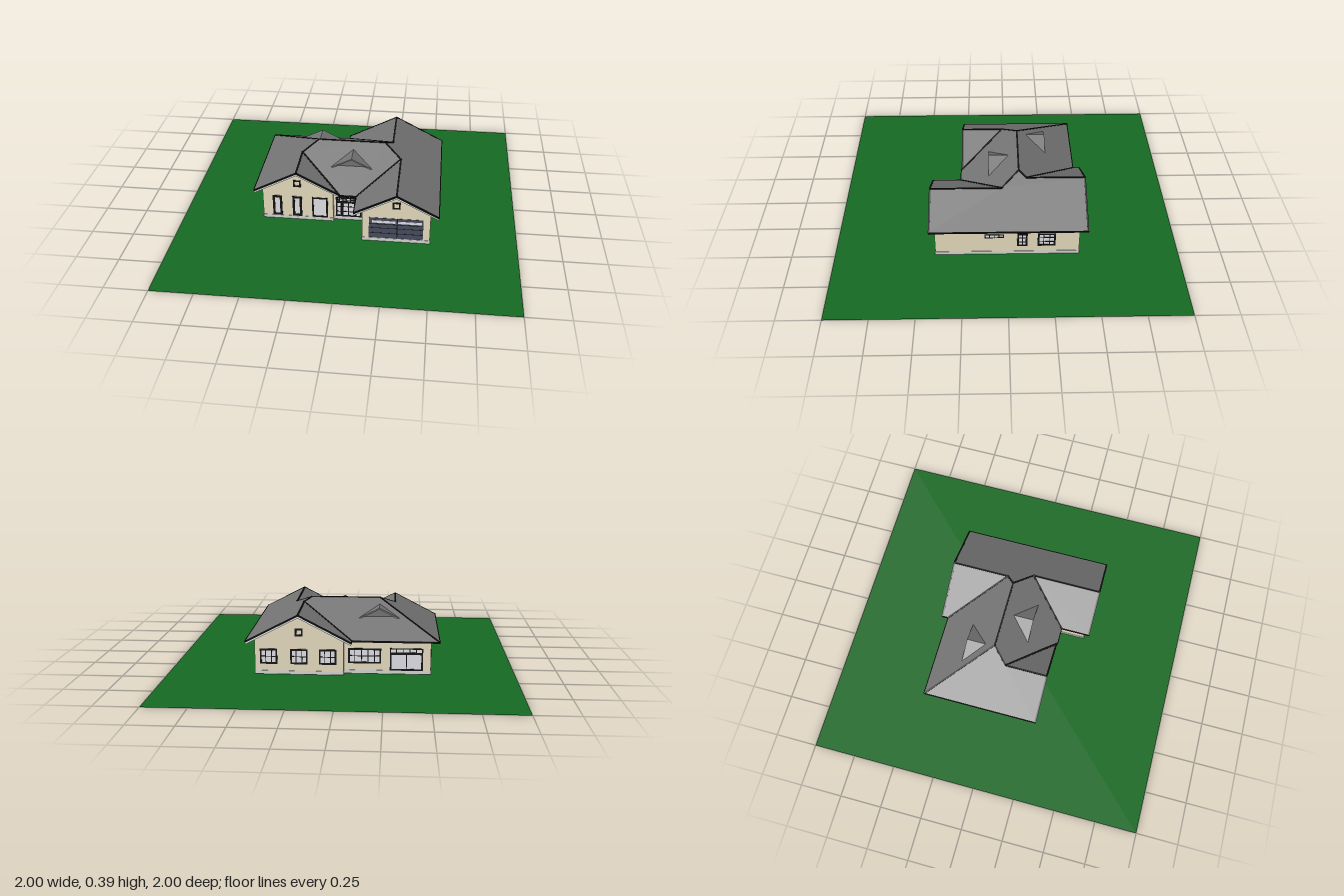
import * as THREE from 'three';

const mat = (name, color, side = THREE.FrontSide) => {
  const m = new THREE.MeshStandardMaterial({ color, side });
  m.name = name;
  return m;
};

export function createModel() {
  const grass = mat('grass green', 0x166a22, THREE.DoubleSide);
  const tan = mat('tan wall', 0xe6dcbe);
  const slate = mat('slate grey roof', 0x747474, THREE.DoubleSide);
  const rakeGrey = mat('light grey rake', 0x8c8c8c);
  const black = mat('black trim', 0x121212);
  const white = mat('white board', 0xf4f4f4);
  const stone = mat('grey plinth', 0xd6d6d4);
  const glassMat = mat('pale glass', 0xe6e6ec);
  const navy = mat('garage blue grey', 0x474c5e);

  const model = new THREE.Group();
  model.name = 'house';
  const add = (name, geo, material, parent = model) => {
    const m = new THREE.Mesh(geo, material);
    m.name = name;
    parent.add(m);
    return m;
  };
  const box = (name, w, h, d, x, y, z, material, parent) => {
    const m = add(name, new THREE.BoxGeometry(w, h, d), material, parent);
    m.position.set(x, y, z);
    return m;
  };
  // Straight bar between two points
  const beam = (name, a, b, w, h, material, parent) => {
    const A = new THREE.Vector3(...a), B = new THREE.Vector3(...b);
    const m = add(name, new THREE.BoxGeometry(w, h, A.distanceTo(B) + w * 0.5), material, parent);
    m.position.copy(A).add(B).multiplyScalar(0.5);
    m.lookAt(B);
    return m;
  };
  const shapeOf = (pts) => new THREE.Shape(pts.map(([x, y]) => new THREE.Vector2(x, y)));

  // Lawn
  add('lawn', new THREE.PlaneGeometry(2, 2).rotateX(-Math.PI / 2), grass);

  // Walls and plinth share one footprint [x, z], grown outward by g
  const footprint = (g) => [
    [-0.515 - g, 0.24 + g], [-0.09 + g, 0.24 + g], [-0.09 + g, 0.215 + g], [0.1 - g, 0.215 + g],
    [0.1 - g, 0.415 + g], [0.495 + g, 0.415 + g], [0.495 + g, -0.42 - g], [-0.015 - g, -0.42 - g],
    [-0.015 - g, -0.38 - g], [-0.515 - g, -0.38 - g],
  ];
  const prism = (name, g, y0, y1, material) => {
    const s = shapeOf(footprint(g).map(([x, z]) => [x, -z]));
    const geo = new THREE.ExtrudeGeometry(s, { depth: y1 - y0, bevelEnabled: false }).rotateX(-Math.PI / 2);
    add(name, geo, material).position.y = y0;
  };
  prism('walls', 0, 0.01, 0.222, tan);
  prism('plinth', 0.002, 0.004, 0.025, stone);

  // Roof slopes: plan outlines [x, z] lifted onto pitched planes
  const EAVE = 0.21, P = 0.52;
  const east = (x) => EAVE + P * (0.54 - x);
  const west = (x) => EAVE + P * (x + 0.56);
  const front = (x, z) => EAVE + P * (0.27 - z);
  const back = (x, z) => EAVE + P * (z + 0.42);
  const roof = new THREE.Group();
  roof.name = 'roof';
  model.add(roof);
  const slopes = {
    eastSlope: [east, [[0.54, 0.442], [0.54, -0.46], [0.24, -0.46], [0.24, -0.12], [0.195, -0.075], [0.2975, 0.0275], [0.2975, 0.442]]],
    westSlope: [west, [[-0.56, 0.265], [-0.305, 0.265], [-0.305, 0.015], [-0.215, -0.075], [-0.56, -0.42]]],
    frontSlope: [front, [[-0.305, 0.015], [-0.05, 0.27], [0.055, 0.27], [0.2975, 0.0275], [0.195, -0.075], [-0.215, -0.075]]],
    backSlope: [back, [[-0.56, -0.42], [-0.215, -0.075], [0.195, -0.075], [0.24, -0.12], [-0.06, -0.42]]],
    westGableInnerSlope: [(x) => EAVE + P * (-0.05 - x), [[-0.305, 0.265], [-0.05, 0.265], [-0.305, 0.015]]],
    eastGableInnerSlope: [(x) => EAVE + P * (x - 0.055), [[0.055, 0.442], [0.2975, 0.442], [0.2975, 0.0275], [0.055, 0.27]]],
    rearGableInnerSlope: [(x) => EAVE + P * (x + 0.06), [[-0.06, -0.42], [0.24, -0.12], [0.24, -0.46], [-0.06, -0.46]]],
  };
  const valleyFeet = [-0.05, 0.055, -0.06];
  for (const [name, [h, pts]] of Object.entries(slopes)) {
    const geo = new THREE.ShapeGeometry(shapeOf(pts.map(([x, z]) => [x, -z])));
    const p = geo.attributes.position;
    for (let i = 0; i < p.count; i++) {
      const x = p.getX(i), z = -p.getY(i);
      p.setXYZ(i, x, h(x, z), z);
    }
    geo.computeVertexNormals();
    add(name, geo, slate, roof);
    // Dark capping along ridges, hips and eaves, raised a little in the valleys
    pts.forEach(([x, z], i) => {
      const [u, v] = pts[(i + 1) % pts.length];
      const valley = x !== u && z !== v && (valleyFeet.includes(x) || valleyFeet.includes(u));
      const lift = valley ? -0.001 : -0.004;
      beam('roofEdge', [x, h(x, z) + lift, z], [u, h(u, v) + lift, v], 0.01, 0.009, black, roof);
    });
  }

  // Framed opening facing +z, split into panes
  function windowUnit(name, w, h, cols, rows, frame = 0.01, pane = glassMat) {
    const g = new THREE.Group();
    g.name = name;
    box('pane', w, h, 0.002, 0, 0, 0.0005, pane, g);
    for (let i = 0; i <= cols; i++) {
      const f = i % cols ? 0.005 : frame;
      const x = i === 0 ? (frame - w) / 2 : i === cols ? (w - frame) / 2 : -w / 2 + (w * i) / cols;
      box('frameUpright', f, h, 0.004, x, 0, 0.0011, black, g);
    }
    for (let i = 0; i <= rows; i++) {
      const f = i % rows ? 0.005 : frame;
      const y = i === 0 ? (frame - h) / 2 : i === rows ? (h - frame) / 2 : -h / 2 + (h * i) / rows;
      box('frameRail', w, f, 0.0038, 0, y, 0.001, black, g);
    }
    return g;
  }
  function place(g, x, y, z, ry = 0) {
    g.position.set(x, y, z);
    g.rotation.y = ry;
    model.add(g);
  }

  // Gable ends: wall, white bargeboards and attic vent
  const gables = [
    { c: -0.305, half: 0.255, a: -0.515, b: -0.09, wall: 0.24, edge: 0.265, s: 1 },
    { c: 0.2975, half: 0.2425, a: 0.1, b: 0.495, wall: 0.415, edge: 0.442, s: 1 },
    { c: 0.24, half: 0.3, a: -0.015, b: 0.495, wall: -0.42, edge: -0.46, s: -1 },
  ];
  for (const { c, half, a, b, wall, edge, s } of gables) {
    const top = EAVE + P * half;
    const y = (x) => top - P * Math.abs(x - c) - 0.003;
    const geo = new THREE.ExtrudeGeometry(
      shapeOf([[a, 0.2], [b, 0.2], [b, y(b)], [c, y(c)], [a, y(a)]]), { depth: 0.03, bevelEnabled: false });
    add('gableWall', geo, tan).position.z = s > 0 ? wall - 0.03 : wall;
    for (const k of [-1, 1]) {
      beam('bargeboard', [c + k * half, EAVE - 0.013, edge], [c, top - 0.013, edge], 0.006, 0.011, white, roof);
    }
    place(windowUnit('atticVent', 0.046, 0.046, 1, 1, 0.01, tan), c, 0.254, wall, s > 0 ? 0 : Math.PI);
  }

  // Gablets on the front and back slopes
  for (const [cx, ry, cz] of [[0.005, 0, 0.1], [-0.215, Math.PI, -0.245]]) {
    const g = new THREE.Group();
    g.name = 'gablet';
    const L = [-0.125, 0.298, 0], R = [0.125, 0.298, 0], T = [0, 0.36, 0], B = [0, 0.36, -0.12];
    const l = [-0.112, 0.3, -0.012], r = [0.112, 0.3, -0.012], t = [0, 0.355, -0.012];
    const geo = new THREE.BufferGeometry();
    geo.setAttribute('position', new THREE.Float32BufferAttribute([L, T, B, T, R, B, l, r, t].flat(), 3));
    geo.computeVertexNormals();
    add('gabletRoof', geo, slate, g);
    for (const side of [L, R]) {
      const [a, b] = [side, T].map(([x, y, z]) => [x, y - 0.004, z]);
      beam('gabletRake', a, b, 0.004, 0.007, rakeGrey, g);
    }
    g.position.set(cx, 0, cz);
    g.rotation.y = ry;
    roof.add(g);
  }

  // Front windows
  for (const [x, w] of [[-0.4275, 0.057], [-0.3075, 0.057], [-0.17, 0.095]]) {
    place(windowUnit('frontWindow', w, 0.138, 1, 1, w > 0.06 ? 0.01 : 0.014), x, 0.0955, 0.24);
  }
  // Sides and rear
  const E = Math.PI / 2;
  place(windowUnit('slitWindow', 0.11, 0.026, 4, 1, 0.006), 0.495, 0.139, 0.072, E);
  place(windowUnit('sideWindow', 0.06, 0.092, 2, 3, 0.011), 0.495, 0.11, -0.09, E);
  place(windowUnit('sideWindow', 0.104, 0.092, 3, 3, 0.011), 0.495, 0.11, -0.23, E);
  for (const x of [0.415, 0.24, 0.075]) {
    place(windowUnit('rearWindow', 0.1, 0.09, 3, 2), x, 0.11, -0.42, Math.PI);
  }
  place(windowUnit('wideRearWindow', 0.19, 0.09, 5, 2), -0.135, 0.11, -0.38, Math.PI);
  place(windowUnit('patioDoor', 0.19, 0.105, 2, 1), -0.375, 0.0775, -0.38, Math.PI);
  place(windowUnit('patioTransom', 0.19, 0.03, 5, 1, 0.006), -0.375, 0.143, -0.38, Math.PI);
  place(windowUnit('westWindow', 0.07, 0.09, 2, 2), -0.515, 0.11, -0.305, -E);
  place(windowUnit('westWindow', 0.06, 0.09, 2, 2), -0.515, 0.11, -0.12, -E);
  place(windowUnit('westDoor', 0.11, 0.13, 3, 4), -0.515, 0.092, 0.06, -E);

  // Entrance: door, sidelights and arched transom
  for (const x of [-0.058, 0.058]) place(windowUnit('sidelight', 0.038, 0.105, 1, 3, 0.009), x, 0.0775, 0.215);
  place(windowUnit('entranceDoor', 0.084, 0.105, 2, 3, 0.01), 0, 0.0775, 0.215);
  place(windowUnit('entranceTransom', 0.154, 0.034, 7, 2, 0.009), 0, 0.143, 0.215);
  const arch = new THREE.QuadraticBezierCurve3(
    new THREE.Vector3(-0.045, 0.158, 0.216), new THREE.Vector3(0, 0.174, 0.216), new THREE.Vector3(0.045, 0.158, 0.216));
  add('entranceArch', new THREE.TubeGeometry(arch, 12, 0.004, 6), black);

  // Garage door with panel joints and a strip of lights
  const garage = new THREE.Group();
  garage.name = 'garageDoor';
  box('garagePanel', 0.315, 0.138, 0.003, 0, 0, 0.0005, navy, garage);
  for (const y of [-0.035, 0, 0.027]) box('panelJoint', 0.315, 0.003, 0.004, 0, y, 0.0008, black, garage);
  box('panelJoint', 0.005, 0.138, 0.0042, 0.007, 0, 0.001, black, garage);
  for (const x of [-0.071, 0.08]) box('garageLight', 0.136, 0.016, 0.005, x, 0.044, 0.001, glassMat, garage);
  place(garage, 0.2975, 0.096, 0.415);

  return model;
}
